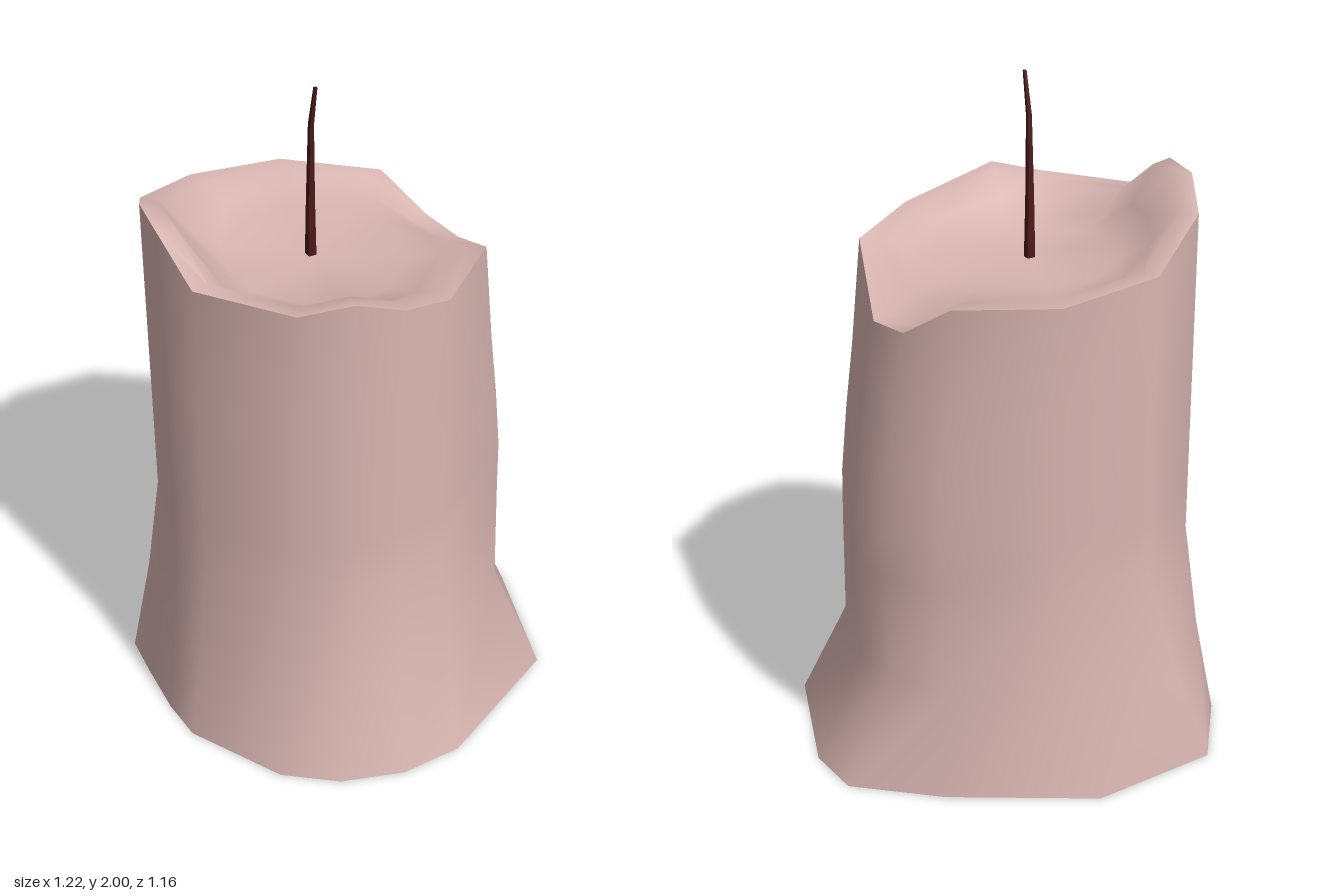
import * as THREE from 'three';
import { toCreasedNormals } from 'three/addons/utils/BufferGeometryUtils.js';

// Loft through rings of [x, y, z] points, optionally closed by an end point
function loft(rings, tip) {
  const n = rings[0].length;
  const points = rings.flat();
  const index = [];
  for (let j = 0; j < rings.length - 1; j++) {
    for (let i = 0; i < n; i++) {
      const a = j * n + i, b = j * n + (i + 1) % n;
      index.push(a, a + n, b, b, a + n, b + n);
    }
  }
  if (tip) {
    const base = (rings.length - 1) * n;
    for (let i = 0; i < n; i++) index.push(base + i, points.length, base + (i + 1) % n);
    points.push(tip);
  }
  const g = new THREE.BufferGeometry();
  g.setAttribute('position', new THREE.Float32BufferAttribute(points.flat(), 3));
  g.setIndex(index);
  g.computeVertexNormals();
  return g;
}

const mix = (a, b, t) => a + (b - a) * t;

// Each column of the candle: rim x, z, height; foot x, z; sideways bulge
const columns = [
  [-0.225, -0.487, 1.535, -0.415, -0.55, 0],
  [0.07, -0.487, 1.50, -0.02, -0.585, 0],
  [0.31, -0.31, 1.48, 0.37, -0.36, 0.05],
  [0.38, -0.17, 1.38, 0.59, -0.175, 0.07],
  [0.40, -0.03, 1.37, 0.605, 0, 0.085],
  [0.31, 0.24, 1.51, 0.475, 0.39, 0.08],
  [0.07, 0.425, 1.525, 0.05, 0.58, 0],
  [-0.08, 0.447, 1.555, -0.14, 0.58, 0],
  [-0.22, 0.425, 1.605, -0.32, 0.515, 0],
  [-0.355, 0.355, 1.575, -0.46, 0.40, 0],
  [-0.53, 0.115, 1.578, -0.605, 0.115, 0],
  [-0.555, -0.03, 1.69, -0.61, -0.02, 0],
  [-0.53, -0.18, 1.69, -0.595, -0.2, 0],
  [-0.465, -0.315, 1.62, -0.58, -0.33, 0],
];
const center = [-0.08, -0.02];
const floorY = 1.47;

// Wall levels: height, spread toward the foot, share of the bulge
const levels = [[0, 1, 0], [0.32, 0.42, 0.85], [0.65, 0, 1], [0.8, 0, 0.97], [1.0, 0, 0.72], [1.2, 0, 0.4]];
// Lip and pool levels: scale toward the centre, share of drop to the floor
const lips = [[1, 0], [0.88, 0.05], [0.74, 0.55], [0.55, 0.95]];

function waxGeometry() {
  const wall = levels.map(([y, spread, bulge]) => columns.map(([x, z, , fx, fz, b]) =>
    b > 0 && y > 0
      ? [x + b * bulge, y, z + (y < 0.5 ? (fz - z) * 0.2 : 0)]
      : [mix(x, fx, spread), y, mix(z, fz, spread)]));
  const lip = lips.map(([s, drop]) => columns.map(([x, z, h]) =>
    [mix(center[0], x, s), mix(h, floorY, drop), mix(center[1], z, s)]));
  return toCreasedNormals(loft([...wall, ...lip], [center[0], floorY, center[1]]), 1.05);
}

// Thin square wick, tapering and bending forward at the tip
function wickGeometry() {
  const stations = [[1.45, -0.032, 0.012], [1.65, -0.03, 0.009], [1.88, -0.023, 0.006], [2.0, 0.002, 0.004]];
  const rings = stations.map(([y, z, r]) =>
    [[-1, -1], [1, -1], [1, 1], [-1, 1]].map(([sx, sz]) => [-0.09 + sx * r, y, z + sz * r]));
  return toCreasedNormals(loft(rings, [-0.09, 2.0, 0.002]), 0.6);
}

export function createModel() {
  const wax = new THREE.MeshStandardMaterial({ color: 0xd9b6b2, side: THREE.DoubleSide });
  wax.name = 'pale pink wax';
  const char = new THREE.MeshStandardMaterial({ color: 0x4a1a1a });
  char.name = 'dark red wick';

  const model = new THREE.Group();
  model.name = 'candle';
  const body = new THREE.Mesh(waxGeometry(), wax);
  body.name = 'waxBody';
  const wick = new THREE.Mesh(wickGeometry(), char);
  wick.name = 'wick';
  model.add(body, wick);
  return model;
}
